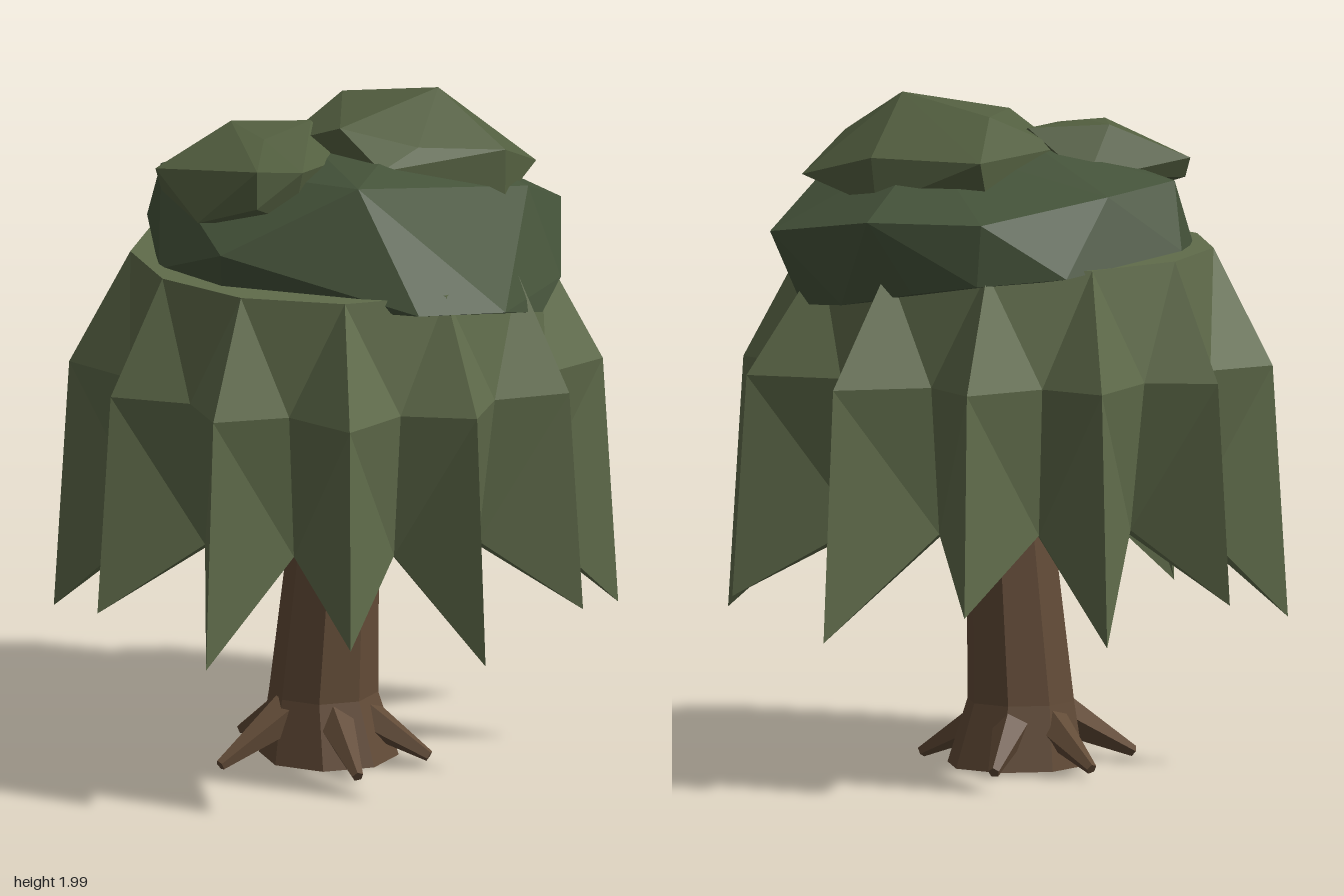
import * as THREE from 'three';
import { ConvexGeometry } from 'three/addons/geometries/ConvexGeometry.js';

const mat = (color, side = THREE.FrontSide) =>
  new THREE.MeshStandardMaterial({ color, side, flatShading: true });
const V = (x, y, z) => new THREE.Vector3(x, y, z);

function part(name, geometry, material) {
  const mesh = new THREE.Mesh(geometry, material);
  mesh.name = name;
  return mesh;
}

// Ground-plan position (x, z) of each frond tip, anticlockwise from the front
const TIPS = [
  [0.11, 0.82], [0.49, 0.63], [0.75, 0.31], [0.82, -0.1], [0.71, -0.51], [0.37, -0.79],
  [-0.06, -0.82], [-0.46, -0.7], [-0.75, -0.37], [-0.82, 0.07], [-0.66, 0.47], [-0.32, 0.74],
];

// Folded curtain of fronds: outer skin, thin lining and the rim joining them
function skirtGeometry() {
  const step = (Math.PI * 2) / TIPS.length, first = 0.125;
  const at = (a, r, y) => V(Math.sin(a) * r, y, Math.cos(a) * r);
  const tris = [];
  const tri = (...p) => p.forEach((v) => tris.push(v.x, v.y, v.z));
  const frond = (k, inset) => {
    const i = k % TIPS.length, [x, z] = TIPS[i];
    const a = Math.atan2(x, z), valley = first + (i + 0.5) * step;
    return {
      top: at(first + i * step, 0.6 - inset, 1.54),
      mid: at(a, Math.hypot(x, z) - 0.045 - inset, 1.2),
      tip: V(x, i % 2 ? 0.46 : 0.55, z),
      valleyMid: at(valley, 0.63 - inset, 1.2),
      valleyLow: at(valley, 0.565 - inset, 0.76),
    };
  };
  for (let i = 0; i < TIPS.length; i++) {
    for (const inset of [0, 0.045]) {
      const f = frond(i, inset), n = frond(i + 1, inset);
      // Shoulder: ridge, valley and next ridge
      tri(f.top, f.mid, f.valleyMid);
      tri(f.top, f.valleyMid, n.top);
      tri(n.top, f.valleyMid, n.mid);
      // Hanging curtain down to the tips
      tri(f.mid, f.tip, f.valleyLow);
      tri(f.mid, f.valleyLow, f.valleyMid);
      tri(f.valleyMid, f.valleyLow, n.mid);
      tri(f.valleyLow, n.tip, n.mid);
    }
    // Rim along the lower edge and flat cap beneath the crown
    const f = frond(i, 0), n = frond(i + 1, 0), inner = frond(i, 0.045);
    tri(f.tip, inner.valleyLow, f.valleyLow);
    tri(f.valleyLow, inner.valleyLow, n.tip);
    tri(V(0, 1.54, 0), f.top, n.top);
  }
  const g = new THREE.BufferGeometry();
  g.setAttribute('position', new THREE.Float32BufferAttribute(tris, 3));
  g.computeVertexNormals();
  return g;
}

const hull = (points) => new ConvexGeometry(points.map((p) => V(...p)));

// Eight-sided trunk, flared at the foot and leaning slightly
function trunkGeometry() {
  const levels = [[0.01, 0.205, -0.02], [0.2, 0.16, -0.035], [0.75, 0.128, 0], [1.5, 0.1, 0.03]];
  const g = new THREE.CylinderGeometry(1, 1, 3, 8, 3);
  const p = g.attributes.position;
  for (let i = 0; i < p.count; i++) {
    const [y, r, cx] = levels[Math.round(p.getY(i) + 1.5)];
    p.setXYZ(i, cx + p.getX(i) * r, y, p.getZ(i) * r);
  }
  g.computeVertexNormals();
  return g;
}

// Tapered root from the trunk to a tip on the ground
function root(x, z, material) {
  const start = V(-0.03 + x * 0.33, 0.15, z * 0.33), end = V(x, 0.027, z);
  const dir = end.clone().sub(start);
  const mesh = part('root', new THREE.CylinderGeometry(0.017, 0.062, dir.length(), 5), material);
  mesh.position.copy(start).add(end).multiplyScalar(0.5);
  mesh.quaternion.setFromUnitVectors(V(0, 1, 0), dir.normalize());
  return mesh;
}

export function createModel() {
  const tree = new THREE.Group();
  tree.name = 'willowTree';
  const bark = mat(0x624b37);
  const crownGreen = mat(0x45533a);
  const tuftGreen = mat(0x535f40);

  tree.add(part('trunk', trunkGeometry(), bark));
  const roots = new THREE.Group();
  roots.name = 'roots';
  for (const [x, z] of [[-0.32, 0.22], [0.09, 0.31], [0.28, 0.07], [-0.03, -0.32], [-0.29, -0.18]])
    roots.add(root(x, z, bark));
  tree.add(roots);

  tree.add(part('hangingFronds', skirtGeometry(), mat(0x606c4b, THREE.DoubleSide)));

  // Broad main crown
  tree.add(part('crown', hull([
    [0.1, 1.84, 0.42], [-0.3, 1.64, 0.46], [0.29, 1.5, 0.57], [0.53, 1.47, 0.4],
    [0.62, 1.41, 0.17], [0.66, 1.47, 0], [0.63, 1.61, -0.37], [0.56, 1.73, -0.05],
    [0.28, 1.68, -0.62], [0.38, 1.42, -0.52], [0.53, 1.4, -0.39], [0.15, 1.47, -0.6],
    [-0.06, 1.68, -0.61], [-0.05, 1.5, -0.62], [-0.3, 1.52, -0.54], [-0.52, 1.76, -0.1],
    [-0.57, 1.57, -0.22], [-0.5, 1.53, 0.22], [-0.3, 1.52, 0.42], [-0.05, 1.49, 0.47],
    [-0.1, 1.85, -0.1], [0.2, 1.86, -0.2], [-0.38, 1.74, -0.35],
  ]), crownGreen));

  // Two leafy tufts on top
  tree.add(part('upperTuft', hull([
    [0.29, 2, -0.13], [0, 1.95, -0.25], [0.5, 1.86, 0.03], [0.57, 1.76, -0.22],
    [0.25, 1.88, 0.1], [-0.17, 1.84, -0.06], [-0.02, 1.84, -0.45], [0.32, 1.84, -0.4],
    [0.15, 1.83, 0.19], [0.5, 1.71, 0.04], [-0.03, 1.71, -0.4], [0.3, 1.7, -0.42],
    [0.02, 1.93, 0.09],
  ]), tuftGreen));
  tree.add(part('lowerTuft', hull([
    [-0.52, 1.8, 0.1], [-0.31, 1.91, -0.04], [-0.08, 1.9, -0.1], [0, 1.85, 0],
    [-0.02, 1.84, 0.17], [-0.07, 1.86, 0.33], [-0.2, 1.87, 0.37], [-0.2, 1.76, 0.38],
    [-0.38, 1.69, 0.29], [-0.5, 1.74, 0.12], [-0.2, 1.9, 0.12], [-0.1, 1.7, 0.3],
    [-0.27, 1.76, -0.15],
  ]), tuftGreen));

  return tree;
}
